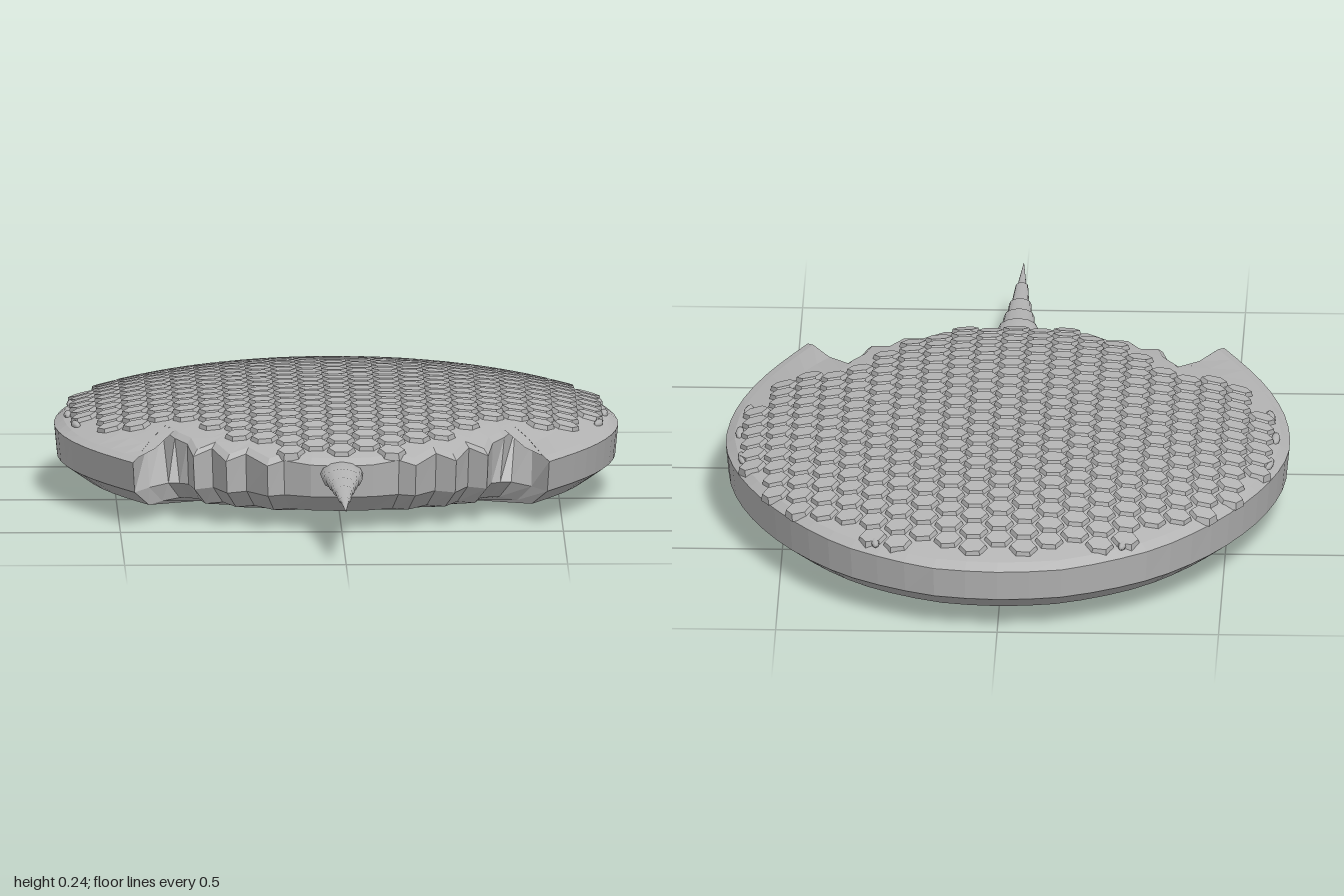
import * as THREE from 'three';
import { mergeGeometries } from 'three/addons/utils/BufferGeometryUtils.js';

const CZ = -0.25;
// height of the domed back at a plan position
const radius = (x, z) => Math.hypot(x / 0.64, (z - CZ) / 0.75);
const dome = (x, z) => 0.157 + 0.073 * (1 - Math.min(1, radius(x, z)) ** 3);

// plan outline of the +x half: smooth shield edge, then notch and teeth
function halfOutline() {
  const edge = new THREE.CatmullRomCurve3([
    [0, -1], [0.13, -0.985], [0.25, -0.93], [0.36, -0.85], [0.48, -0.7], [0.57, -0.52], [0.62, -0.35],
    [0.637, -0.2], [0.622, -0.02], [0.58, 0.15], [0.53, 0.28], [0.47, 0.408],
  ].map(([x, z]) => new THREE.Vector3(x, 0, z)));
  const front = edge.getSpacedPoints(24).map((p) => [p.x, p.z, p.x, p.z]);
  // x, z at the lower edge, then x, z at the upper rim
  const rear = [
    [0.435, 0.33, 0.435, 0.23], [0.39, 0.262, 0.398, 0.135], [0.365, 0.265, 0.372, 0.22],
    [0.345, 0.28, 0.345, 0.275], [0.333, 0.362, 0.333, 0.362], [0.29, 0.33, 0.29, 0.33],
    [0.26, 0.42, 0.26, 0.42], [0.215, 0.39, 0.215, 0.39], [0.168, 0.47, 0.168, 0.47],
    [0.13, 0.448, 0.13, 0.448], [0.07, 0.48, 0.07, 0.48], [0, 0.49, 0, 0.49],
  ];
  return [...front, ...rear];
}

// shell made of rings blended from the outline towards an inner oval
function shellGeometry() {
  const half = halfOutline();
  const mirrored = half.slice(1, -1).reverse().map(([x, z, u, w]) => [-x, z, -u, w]);
  const loop = [...half, ...mirrored];
  const n = loop.length;
  const ring = (t, upper, y, s = 1) => loop.map(([x, z, u, w], i) => {
    const a = (2 * Math.PI * i) / n;
    const px = THREE.MathUtils.lerp(upper ? u : x, Math.sin(a) * 0.3 * s, t);
    const pz = THREE.MathUtils.lerp(upper ? w : z, CZ - Math.cos(a) * 0.36 * s, t);
    return [px, y === null ? dome(px, pz) : y, pz];
  });
  const rim = ring(0, true, null).map(([x, y, z]) => [x, y - 0.008, z]);
  const rings = [
    ring(1, true, null, 0.001), ring(1, true, null, 0.5), ring(1, true, null),
    ring(0.75, true, null), ring(0.5, true, null), ring(0.25, true, null), ring(0.06, true, null),
    rim, ring(0.02, false, 0.08), ring(0.18, false, 0.04), ring(0.7, false, 0.011), ring(1, false, 0.004, 0.001),
  ];
  const index = [];
  for (let r = 0; r < rings.length - 1; r++) {
    for (let i = 0; i < n; i++) {
      const j = (i + 1) % n, a = r * n, b = a + n;
      index.push(a + i, b + j, b + i, a + i, a + j, b + j);
    }
  }
  const g = new THREE.BufferGeometry();
  g.setAttribute('position', new THREE.Float32BufferAttribute(rings.flat(2), 3));
  g.setIndex(index);
  const flat = g.toNonIndexed();
  flat.computeVertexNormals();
  return flat;
}

// bevelled hexagonal plates laid over the dome
function plateGeometry() {
  const R = 0.038, dx = 1.5 * R, dz = Math.sqrt(3) * R, e = 0.01;
  const up = new THREE.Vector3(0, 1, 0);
  const hex = new THREE.CylinderGeometry(R * 0.76, R * 0.92, 0.016, 6, 1).rotateY(Math.PI / 6).toNonIndexed();
  hex.computeVertexNormals();
  // corners point along x
  const parts = [];
  for (let c = -10; c <= 10; c++) {
    for (let r = -16; r <= 8; r++) {
      const x = c * dx, z = (r + (Math.abs(c) % 2) / 2) * dz - 0.1;
      if (radius(x, z) > 0.93 || z > 0.43) continue;
      if (z > 0.12 && Math.abs(x) > 0.47 - 0.8 * z) continue;
      const normal = new THREE.Vector3(
        (dome(x - e, z) - dome(x + e, z)) / (2 * e), 1, (dome(x, z - e) - dome(x, z + e)) / (2 * e)).normalize();
      const q = new THREE.Quaternion().setFromUnitVectors(up, normal);
      const m = new THREE.Matrix4().compose(
        new THREE.Vector3(x, dome(x, z) + 0.001, z), q, new THREE.Vector3(1, 1, 1));
      parts.push(hex.clone().applyMatrix4(m));
    }
  }
  return mergeGeometries(parts);
}

export function createModel() {
  const model = new THREE.Group();
  model.name = 'horseshoeCrab';
  const grey = new THREE.MeshStandardMaterial({ color: 0xb4b4b4 });
  grey.name = 'shellGrey';
  const add = (name, geometry) => {
    const mesh = new THREE.Mesh(geometry, grey);
    mesh.name = name;
    model.add(mesh);
    return mesh;
  };

  add('shell', shellGeometry());
  add('hexPlates', plateGeometry());

  // tail spike with slightly overlapping segments
  const profile = [[0, 0.42], [0.05, 0.45], [0.045, 0.56], [0.038, 0.565], [0.034, 0.64], [0.028, 0.645],
    [0.025, 0.72], [0.02, 0.725], [0.014, 0.84], [0.01, 0.845], [0, 0.995]];
  const tail = new THREE.LatheGeometry(profile.map(([r, l]) => new THREE.Vector2(r, l)), 12);
  tail.rotateX(Math.PI / 2).scale(1, 0.55, 1);
  const spike = add('tailSpike', tail);
  spike.position.y = 0.135;
  spike.rotation.x = 0.02;
  spike.position.y += 0.008;

  // small ridges near the shield edge
  for (const side of [-1, 1]) {
    for (const [x, z, turn] of [[0.28, -0.87, 0.1], [0.595, -0.36, 0.12], [0.605, -0.2, 0], [0.59, -0.06, -0.15]]) {
      const ridge = add('edgeRidge', new THREE.SphereGeometry(1, 8, 6));
      ridge.scale.set(0.01, 0.009, 0.035);
      ridge.position.set(side * x, dome(x, z), z);
      ridge.rotation.y = side * turn;
    }
  }
  return model;
}
